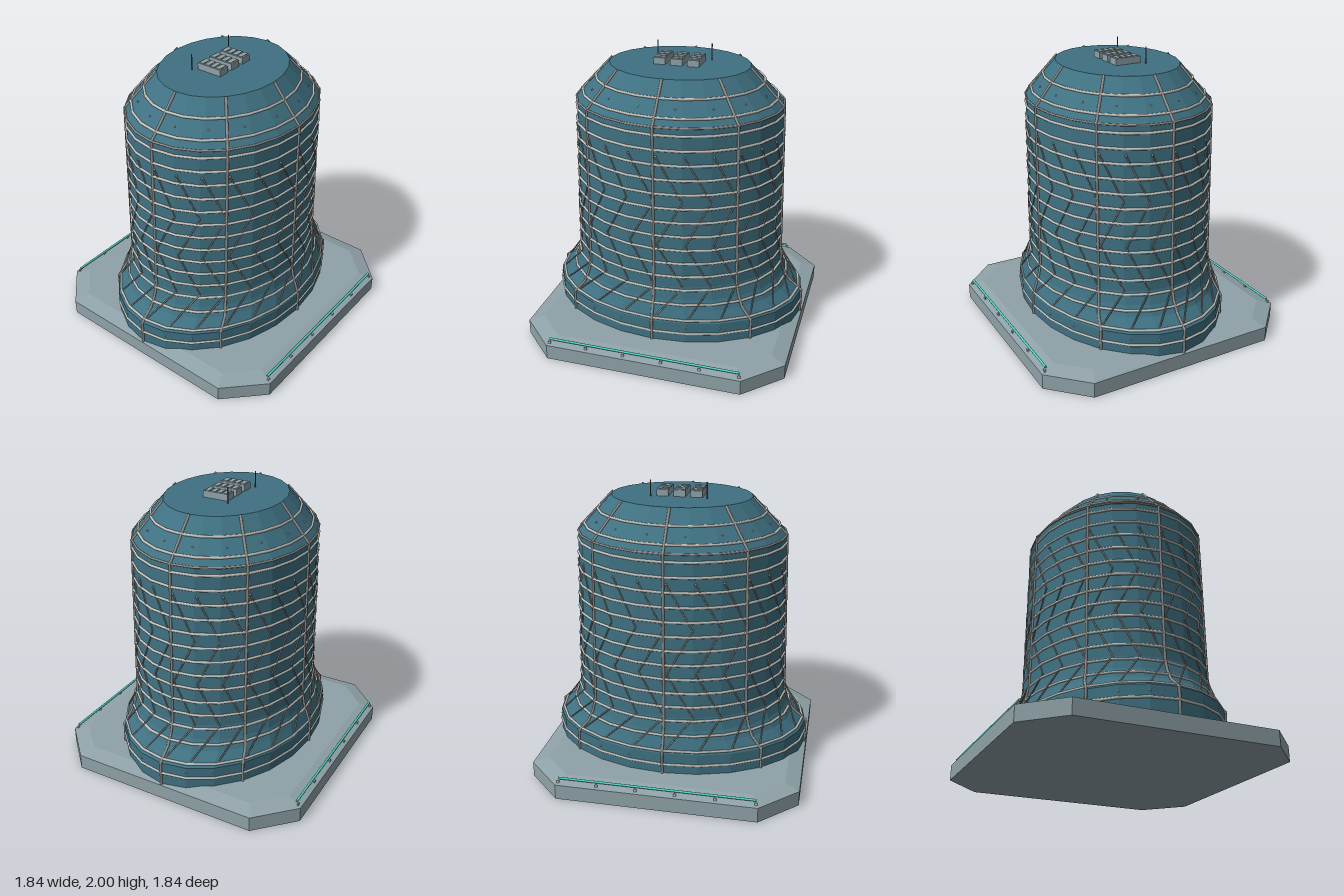
import * as THREE from 'three';
import { ConvexGeometry } from 'three/addons/geometries/ConvexGeometry.js';
import { mergeGeometries } from 'three/addons/utils/BufferGeometryUtils.js';

const SIDES = 24;
const STEP = Math.PI * 2 / SIDES;

// Hull profile: height, half-width in x, half-width in z
const PROFILE = [
  [0.02, 0.905, 0.675], [0.28, 0.905, 0.675], [0.36, 0.81, 0.648], [0.43, 0.77, 0.624],
  [0.52, 0.742, 0.608], [1.645, 0.713, 0.602], [1.89, 0.48, 0.4],
];

function material(name, color, flatShading = false) {
  const m = new THREE.MeshStandardMaterial({ color, flatShading });
  m.name = name;
  return m;
}

// Half-widths of the hull at a height
function radiiAt(y) {
  let i = 0;
  while (i < PROFILE.length - 2 && y > PROFILE[i + 1][0]) i++;
  const [a, b] = [PROFILE[i], PROFILE[i + 1]];
  const t = THREE.MathUtils.clamp((y - a[0]) / (b[0] - a[0]), 0, 1);
  return [a[1] + (b[1] - a[1]) * t, a[2] + (b[2] - a[2]) * t];
}

// Point on the hull; angle 0 is the front and grows towards +x
function onHull(angle, y, lift = 0) {
  const [rx, rz] = radiiAt(y);
  return new THREE.Vector3((rx + lift) * Math.sin(angle), y, (rz + lift) * Math.cos(angle));
}

// Straight round bar between two points
function bar(a, b, radius) {
  const dir = b.clone().sub(a);
  const g = new THREE.CylinderGeometry(radius, radius, dir.length(), 16);
  g.applyQuaternion(new THREE.Quaternion().setFromUnitVectors(new THREE.Vector3(0, 1, 0), dir.normalize()));
  return g.translate((a.x + b.x) / 2, (a.y + b.y) / 2, (a.z + b.z) / 2);
}

function ball(p, radius) {
  return new THREE.SphereGeometry(radius, 14, 10).translate(p.x, p.y, p.z);
}

function box(w, h, d, x, y, z) {
  return new THREE.BoxGeometry(w, h, d).translate(x, y, z);
}

function hullGeometry() {
  const pts = PROFILE.map(([y, rx]) => new THREE.Vector2(rx, y));
  pts.unshift(new THREE.Vector2(0, PROFILE[0][0]));
  pts.push(new THREE.Vector2(0, 1.89));
  const g = new THREE.LatheGeometry(pts, SIDES);
  const p = g.attributes.position;
  for (let i = 0; i < p.count; i++) {
    const [rx, rz] = radiiAt(p.getY(i));
    p.setZ(i, p.getZ(i) * rz / rx);
  }
  return g.toNonIndexed();
}

// Elliptical round hoop around the hull
function hoop(y, r) {
  const [rx, rz] = radiiAt(y);
  const pts = [];
  for (let i = 0; i <= 16; i++) {
    const a = -Math.PI / 2 + i * Math.PI / 8;
    pts.push(new THREE.Vector2(rx + 0.002 + r * Math.cos(a), r * Math.sin(a)));
  }
  return new THREE.LatheGeometry(pts, SIDES).scale(1, 1, rz / rx).translate(0, y, 0);
}

// Square with cut corners
function octagon(half, cut, y) {
  const out = [];
  for (const sx of [-1, 1]) for (const sz of [-1, 1]) {
    out.push(new THREE.Vector3(sx * half, y, sz * cut), new THREE.Vector3(sx * cut, y, sz * half));
  }
  return out;
}

export function createModel() {
  const model = new THREE.Group();
  model.name = 'tower';
  const hullBlue = material('hull blue', 0x3f7182, true);
  const stone = material('plinth grey', 0x8fa2a8, true);
  const pale = material('pale trim', 0xbcbcb8);
  const steel = material('steel grey', 0x8c8986);
  const dark = material('dark metal', 0x5c5e60);
  const teal = material('teal light', 0x4fd0c0);
  const add = (name, geometries, mat) => {
    const list = [].concat(geometries);
    const mesh = new THREE.Mesh(list.length > 1 ? mergeGeometries(list) : list[0], mat);
    mesh.name = name;
    model.add(mesh);
  };

  // Plinth with bevelled top edge
  add('plinth', new ConvexGeometry([
    ...octagon(0.92, 0.675, 0), ...octagon(0.92, 0.675, 0.105), ...octagon(0.82, 0.63, 0.135),
  ]), stone);

  add('hull', hullGeometry(), hullBlue);

  // Floor hoops at even heights up to the shoulder
  const hoops = [];
  for (let i = 0; i < 17; i++) hoops.push(hoop(0.2 + i * 0.0995, 0.009));
  add('floorHoops', hoops, pale);

  // Hoop on the shoulder edge
  add('shoulderHoop', hoop(1.645, 0.007), steel);

  // Eight upright ribs following the profile
  const ribs = [];
  for (let k = 0; k < 8; k++) {
    const a = k * Math.PI / 4;
    for (let i = 0; i < PROFILE.length - 1; i++) {
      const from = onHull(a, Math.max(PROFILE[i][0], 0.1), 0.002);
      const to = onHull(a, PROFILE[i + 1][0], 0.002);
      ribs.push(bar(from, to, 0.009));
      if (i < PROFILE.length - 2) ribs.push(ball(to, 0.01));
    }
  }
  add('ribs', ribs, steel);

  // Zigzag braces
  const braces = [];
  const levels = [1.45, 1.14, 0.83, 0.52, 0.31];
  for (let k = 0; k < SIDES; k++) {
    const pts = levels.map((y, i) => onHull((k - (i % 2 ? 0 : 0.9)) * STEP, y, 0.002));
    for (let i = 0; i < 4; i++) braces.push(bar(pts[i], pts[i + 1], 0.005));
    braces.push(ball(pts[0], 0.008));
  }
  add('zigzagBraces', braces, steel);

  // Small lamps near the shoulder and the foot
  const lamps = [];
  const lampRow = (count, offset, y) => {
    for (let k = 0; k < count; k++) lamps.push(ball(onHull((k + offset) * Math.PI * 2 / count, y), 0.006));
  };
  lampRow(16, 0.5, 1.74);
  lampRow(24, 0, 0.24);
  add('lamps', lamps, pale);

  // Roof units with slats
  const units = [];
  for (const x of [-0.115, 0, 0.115]) {
    units.push(box(0.08, 0.046, 0.184, x, 1.911, 0));
    for (let i = 0; i < 4; i++) units.push(box(0.072, 0.006, 0.032, x, 1.936, -0.066 + i * 0.044));
  }
  add('roofUnits', units, stone);

  // Roof masts
  add('masts', [-0.19, 0.19].map((x) =>
    bar(new THREE.Vector3(x, 1.88, -0.112), new THREE.Vector3(x, 2, -0.112), 0.004)), dark);

  // Light strips and clips along the front and back edges
  const strips = [], clips = [];
  for (const s of [-1, 1]) {
    strips.push(bar(new THREE.Vector3(-0.66, 0.142, s * 0.887), new THREE.Vector3(0.66, 0.142, s * 0.887), 0.008));
    for (let i = 0; i < 6; i++) clips.push(box(0.018, 0.022, 0.01, -0.66 + i * 0.264, 0.118, s * 0.896));
  }
  add('lightStrips', strips, teal);
  add('stripClips', clips, pale);
  return model;
}
